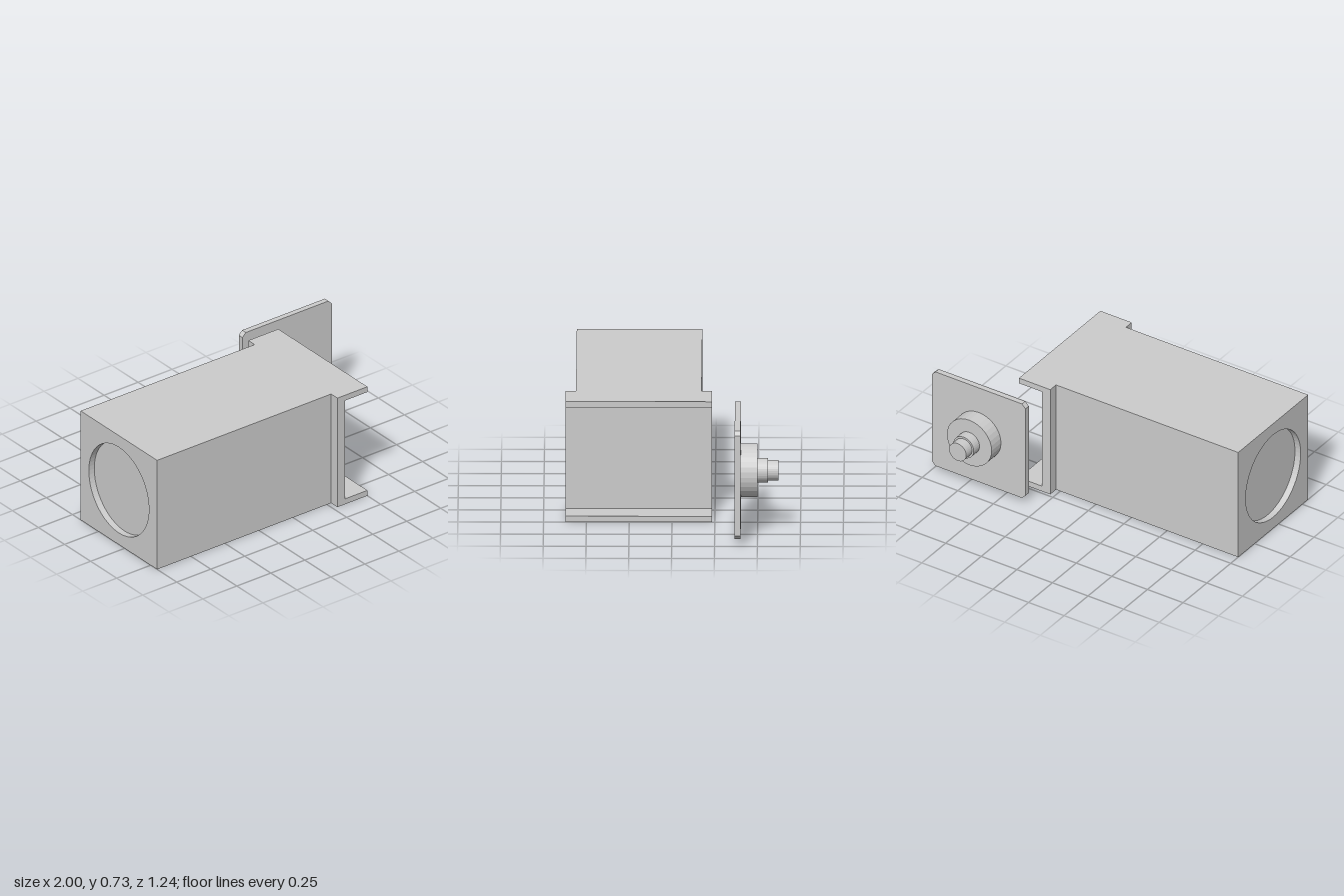
import * as THREE from 'three';

const material = new THREE.MeshStandardMaterial({ color: 0xcccccc, flatShading: true });
const H = 0.733;          // housing height and depth
const MID_Y = H / 2;
const MID_Z = 0.195;      // housing centre line

function add(parent, name, geometry, x, y, z) {
  const mesh = new THREE.Mesh(geometry, material);
  mesh.name = name;
  mesh.position.set(x, y, z);
  parent.add(mesh);
  return mesh;
}

function polygon(points) {
  return new THREE.Shape(points.map(([x, y]) => new THREE.Vector2(x, y)));
}

function extrude(shape, depth) {
  return new THREE.ExtrudeGeometry(shape, { depth, bevelEnabled: false, curveSegments: 32 });
}

function createHousing() {
  const housing = new THREE.Group();
  housing.name = 'housing';
  const recess = 0.04, h = H / 2;

  // Square body, its end wall forming the floor of the round recess
  add(housing, 'body', new THREE.BoxGeometry(1.28 - recess, H, H),
    (-1 + recess + 0.28) / 2, MID_Y, MID_Z);

  // End panel with a round opening
  const panel = polygon([[-h, -h], [h, -h], [h, h], [-h, h]]);
  panel.holes.push(new THREE.Path().absarc(0, 0, 0.288, 0, Math.PI * 2, true));
  add(housing, 'endPanel', extrude(panel, recess).rotateY(-Math.PI / 2), -1 + recess, MID_Y, MID_Z);

  // U-shaped channel, open at both sides and at its end
  const x0 = 0.28, x1 = 0.337, x2 = 0.5, t = 0.036, width = 0.854;
  const profile = polygon([
    [x0, 0], [x2, 0], [x2, t], [x1, t], [x1, H - t], [x2, H - t], [x2, H], [x0, H],
  ]);
  add(housing, 'channel', extrude(profile, width), 0, 0, MID_Z - width / 2);
  return housing;
}

function createCover() {
  const cover = new THREE.Group();
  cover.name = 'cover';
  const cx = 0.669, s = 0.329, c = s - 0.025;

  // Square plate with clipped corners
  const plate = polygon([[-c, -s], [c, -s], [s, -c], [s, c], [c, s], [-c, s], [-s, c], [-s, -c]]);
  add(cover, 'plate', extrude(plate, 0.035), cx, MID_Y, -0.402);

  // Stepped spindle on the back of the plate: radius, z start, z end
  const steps = [
    ['hub', 0.157, -0.402, -0.5],
    ['collar', 0.072, -0.5, -0.561],
    ['shaft', 0.06, -0.561, -0.622],
  ];
  for (const [name, r, z0, z1] of steps) {
    const geometry = new THREE.CylinderGeometry(r, r, z0 - z1, 32).rotateX(Math.PI / 2);
    add(cover, name, geometry, cx, MID_Y, (z0 + z1) / 2);
  }
  return cover;
}

export function createModel() {
  const model = new THREE.Group();
  model.name = 'housingWithCover';
  model.add(createHousing(), createCover());
  return model;
}
